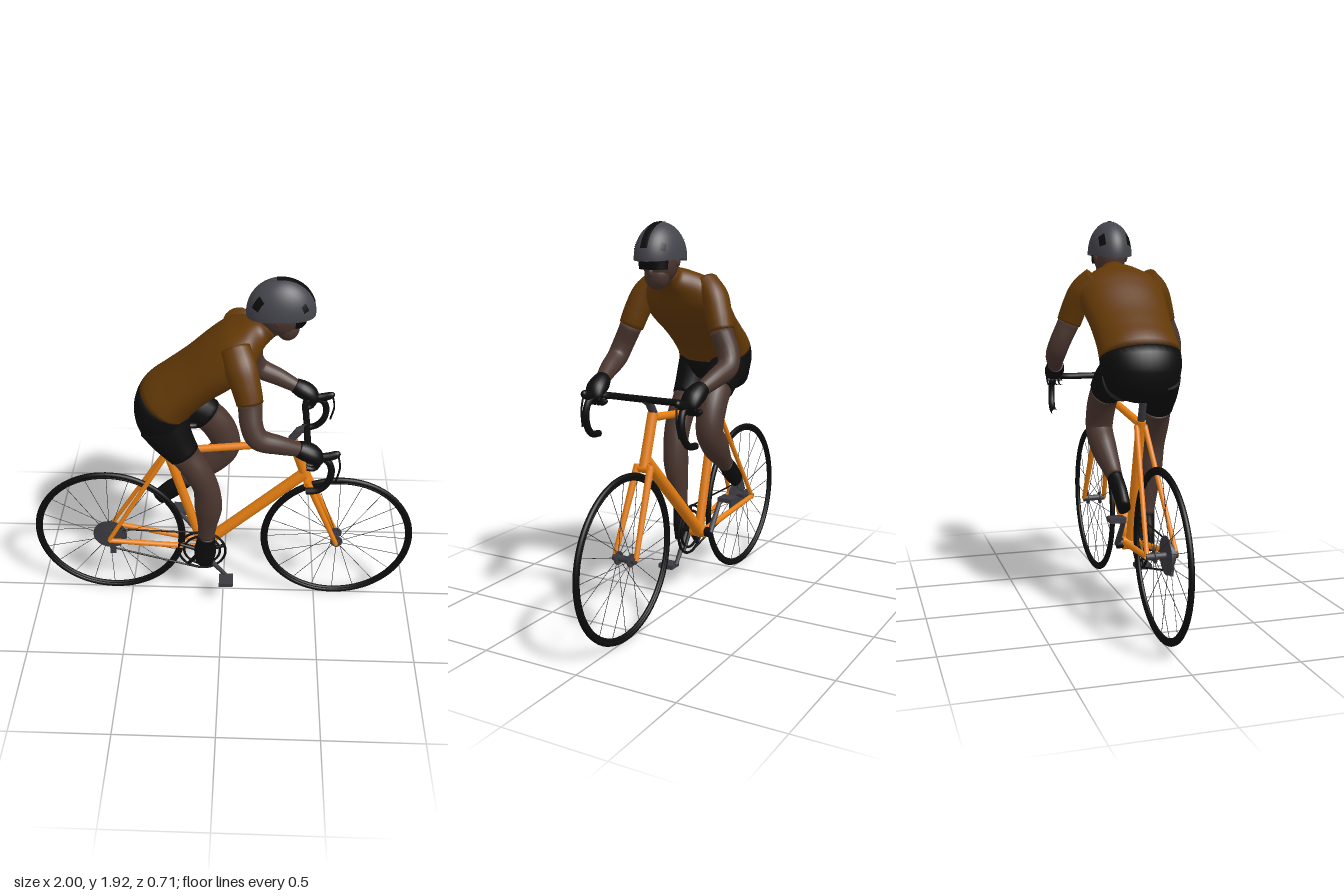
import * as THREE from 'three';

const V = (x, y, z = 0) => new THREE.Vector3(x, y, z);
const mat = (name, color) => {
  const m = new THREE.MeshStandardMaterial({ color });
  m.name = name;
  return m;
};

// Smooth body part: rows are [x, y, z, depth radius, side radius]; from/to are row numbers.
function loft(rows, from = 0, to = rows.length - 1, around = 20) {
  const last = rows.length - 1;
  const path = new THREE.CatmullRomCurve3(rows.map(r => V(r[0], r[1], r[2])), false, 'catmullrom');
  const size = new THREE.CatmullRomCurve3(rows.map(r => V(r[3], r[4])), false, 'catmullrom');
  const steps = Math.ceil((to - from) * 6);
  const pos = [], index = [];
  for (let i = 0; i <= steps; i++) {
    const u = (from + (to - from) * i / steps) / last;
    const c = path.getPoint(u), r = size.getPoint(u), t = path.getTangent(u);
    const s = V(0, 0, 1).addScaledVector(t, -t.z).normalize();
    const n = s.clone().cross(t);
    for (let j = 0; j < around; j++) {
      const a = j / around * Math.PI * 2;
      const p = c.clone().addScaledVector(n, r.x * Math.cos(a)).addScaledVector(s, r.y * Math.sin(a));
      pos.push(p.x, p.y, p.z);
    }
  }
  for (let i = 0; i < steps; i++) for (let j = 0; j < around; j++) {
    const a = i * around + j, b = i * around + (j + 1) % around;
    index.push(a, b, a + around, b, b + around, a + around);
  }
  // end caps
  for (const u of [from / last, to / last]) {
    const c = path.getPoint(u), k = pos.length / 3, base = u === to / last ? steps * around : 0;
    pos.push(c.x, c.y, c.z);
    for (let j = 0; j < around; j++) {
      const a = base + j, b = base + (j + 1) % around;
      if (base) index.push(a, b, k); else index.push(b, a, k);
    }
  }
  const g = new THREE.BufferGeometry();
  g.setAttribute('position', new THREE.Float32BufferAttribute(pos, 3));
  g.setIndex(index);
  g.computeVertexNormals();
  return g;
}

export function createModel() {
  const root = new THREE.Group();
  root.name = 'cyclist';
  const orange = mat('frame orange', 0xf08414), jersey = mat('jersey brown', 0x623806);
  const skin = mat('skin', 0x4b362f), grey = mat('helmet grey', 0x44444c);
  const metal = mat('dark metal', 0x3a3a40), black = mat('black', 0x0c0c0d);
  const wire = mat('spoke grey', 0x2c2c30);
  grey.side = THREE.DoubleSide;
  const lens = mat('lens black', 0x070708);
  lens.side = THREE.DoubleSide;

  const add = (name, geo, m, parent = root) => {
    const mesh = new THREE.Mesh(geo, m);
    mesh.name = name;
    parent.add(mesh);
    return mesh;
  };
  const rod = (name, a, b, r, m, r2 = r, sides = 14, parent = root) => {
    const d = b.clone().sub(a);
    const o = add(name, new THREE.CylinderGeometry(r2, r, d.length(), sides), m, parent);
    o.position.copy(a).addScaledVector(d, 0.5);
    o.quaternion.setFromUnitVectors(V(0, 1), d.normalize());
    return o;
  };
  const ball = (name, p, s, m) => {
    const o = add(name, new THREE.SphereGeometry(1, 24, 16), m);
    o.position.copy(p);
    o.scale.copy(s);
    return o;
  };
  const box = (name, p, w, h, d, m) => {
    const o = add(name, new THREE.BoxGeometry(w, h, d), m);
    o.position.copy(p);
    return o;
  };

  // Wheels
  for (const [side, x] of [['rear', -0.6], ['front', 0.6]]) {
    const wheel = new THREE.Group();
    wheel.name = side + 'Wheel';
    wheel.position.set(x, 0.406, 0);
    root.add(wheel);
    add('tyre', new THREE.TorusGeometry(0.387, 0.0135, 10, 72), black, wheel);
    add('rim', new THREE.TorusGeometry(0.372, 0.009, 8, 72), black, wheel);
    const hw = side === 'rear' ? 0.075 : 0.06;
    rod('hub', V(0, 0, -hw), V(0, 0, hw), 0.016, metal, 0.016, 16, wheel);
    for (const s of [-1, 1])
      rod('hubFlange', V(0, 0, s * 0.03), V(0, 0, s * 0.038), 0.032, metal, 0.032, 20, wheel);
    for (let i = 0; i < 20; i++) {
      const a = i / 20 * Math.PI * 2, c = Math.cos(a), n = Math.sin(a);
      rod('spoke', V(c * 0.03, n * 0.03, i % 2 ? 0.034 : -0.034), V(c * 0.37, n * 0.37), 0.0014, wire, 0.0014, 5, wheel);
    }
  }

  // Cassette
  for (let i = 0; i < 6; i++)
    rod('sprocket', V(-0.6, 0.406, 0.018 + i * 0.006), V(-0.6, 0.406, 0.022 + i * 0.006), 0.09 - i * 0.009, metal, 0.09 - i * 0.009, 28);

  // Frame
  const crank = V(-0.11, 0.336), seatTop = V(-0.285, 0.975);
  rod('seatTube', crank, seatTop, 0.024, orange);
  rod('downTube', crank, V(0.415, 0.835), 0.03, orange);
  rod('topTube', V(-0.28, 0.955), V(0.355, 1.025), 0.019, orange);
  rod('headTube', V(0.342, 1.045), V(0.425, 0.8), 0.025, orange);
  rod('bottomBracket', V(-0.11, 0.336, -0.04), V(-0.11, 0.336, 0.04), 0.032, orange);
  rod('forkCrown', V(0.428, 0.795, -0.045), V(0.428, 0.795, 0.045), 0.02, orange);
  for (const s of [-1, 1]) {
    rod('forkBlade', V(0.425, 0.81, s * 0.035), V(0.597, 0.406, s * 0.058), 0.018, orange, 0.012);
    rod('chainStay', V(-0.13, 0.342, s * 0.03), V(-0.6, 0.406, s * 0.07), 0.016, orange, 0.013);
    rod('seatStay', V(-0.28, 0.95, s * 0.02), V(-0.6, 0.406, s * 0.07), 0.013, orange, 0.011);
  }
  rod('seatPost', seatTop, V(-0.335, 1.11), 0.018, metal);
  rod('stem', V(0.338, 1.045), V(0.375, 1.1), 0.02, metal);
  rod('stemReach', V(0.365, 1.095), V(0.415, 1.12), 0.019, metal);
  add('saddle', loft([[-0.385, 1.11, 0, 0.015, 0.05], [-0.34, 1.12, 0, 0.025, 0.065], [-0.25, 1.12, 0, 0.02, 0.035], [-0.13, 1.115, 0, 0.014, 0.016]]), black);

  // Drivetrain
  for (const r of [0.125, 0.095]) {
    const ring = add('chainring', new THREE.TorusGeometry(r, 0.007, 6, 48), black);
    ring.position.set(-0.11, 0.336, 0.05);
  }
  for (let i = 0; i < 5; i++) {
    const a = i / 5 * Math.PI * 2 + 0.3;
    rod('spiderArm', V(-0.11, 0.336, 0.052), V(-0.11 + Math.cos(a) * 0.122, 0.336 + Math.sin(a) * 0.122, 0.05), 0.014, black, 0.009, 8);
  }
  rod('axle', V(-0.11, 0.336, -0.07), V(-0.11, 0.336, 0.075), 0.025, black);
  for (const s of [-1, 1]) {
    const p = V(-0.11 + s * 0.125, 0.336 - s * 0.16, s * 0.066);
    rod('crankArm', V(-0.11, 0.336, s * 0.066), p, 0.016, metal, 0.011, 8);
    box('pedal', V(p.x + 0.005, p.y - 0.005, s * 0.106), 0.075, 0.022, 0.08, metal);
  }
  rod('lowerChain', V(-0.57, 0.325, 0.04), V(-0.13, 0.21, 0.05), 0.005, black, 0.005, 6);
  rod('upperChain', V(-0.6, 0.46, 0.04), V(-0.11, 0.46, 0.05), 0.004, black, 0.004, 6);
  box('derailleur', V(-0.585, 0.345, 0.05), 0.03, 0.08, 0.015, metal);

  // Handlebar, hoods, brake levers and arms, mirrored
  for (const s of [-1, 1]) {
    const side = s > 0 ? 'right' : 'left';
    const bar = [[0.41, 1.12, 0], [0.41, 1.12, 0.1], [0.41, 1.12, 0.2], [0.44, 1.122, 0.242], [0.495, 1.11, 0.25], [0.52, 1.06, 0.254],
      [0.508, 0.985, 0.258], [0.465, 0.94, 0.262], [0.405, 0.93, 0.263]].map(p => V(p[0], p[1], p[2] * s));
    add('handlebar', new THREE.TubeGeometry(new THREE.CatmullRomCurve3(bar), 48, 0.0165, 10), black);
    add('brakeHood', loft([[0.44, 1.125, 0.25 * s, 0.018, 0.018], [0.5, 1.13, 0.25 * s, 0.022, 0.018], [0.545, 1.145, 0.248 * s, 0.018, 0.015], [0.558, 1.148, 0.248 * s, 0.004, 0.004]]), black);
    const lever = [V(0.548, 1.14, 0.248 * s), V(0.56, 1.07, 0.252 * s), V(0.545, 0.99, 0.258 * s)];
    add('brakeLever', new THREE.TubeGeometry(new THREE.CatmullRomCurve3(lever), 12, 0.005, 6), black);

    const arm = [[0.06, 1.635, 0.13, 0.07, 0.06], [0.085, 1.575, 0.19, 0.075, 0.062], [0.11, 1.5, 0.222, 0.069, 0.062], [0.13, 1.42, 0.248, 0.062, 0.06],
      [0.14, 1.33, 0.288, 0.053, 0.052], [0.175, 1.262, 0.305, 0.052, 0.05], [0.27, 1.222, 0.29, 0.045, 0.043], [0.37, 1.18, 0.265, 0.033, 0.033]];
    const armRows = arm.map(r => [r[0], r[1], r[2] * s, r[3], r[4]]);
    add(side + 'Sleeve', loft(armRows, 0, 3), jersey);
    add(side + 'Arm', loft(armRows.map((r, i) => i === 3 ? [r[0], r[1], r[2], 0.057, 0.055] : r), 3, 7), skin);
    add(side + 'Glove', loft([[0.355, 1.187, 0.268 * s, 0.038, 0.038], [0.39, 1.17, 0.262 * s, 0.045, 0.048], [0.43, 1.148, 0.258 * s, 0.042, 0.05],
      [0.46, 1.115, 0.254 * s, 0.025, 0.04], [0.465, 1.1, 0.254 * s, 0.005, 0.01]]), black);
    for (let i = 0; i < 4; i++) {
      const z = s * (0.225 + i * 0.02);
      const finger = [V(0.42, 1.155, z), V(0.455, 1.12, z), V(0.435, 1.085, z), V(0.4, 1.09, z)];
      add('finger', new THREE.TubeGeometry(new THREE.CatmullRomCurve3(finger), 8, 0.013, 8), black);
    }
  }

  // Torso: shorts below the hem, jersey above
  const torso = [[-0.27, 1.07, 0, 0.04, 0.06], [-0.283, 1.12, 0, 0.115, 0.16], [-0.285, 1.2, 0, 0.145, 0.192], [-0.272, 1.275, 0, 0.142, 0.197],
    [-0.205, 1.345, 0, 0.128, 0.195], [-0.11, 1.425, 0, 0.12, 0.2], [0.0, 1.515, 0, 0.125, 0.215], [0.075, 1.585, 0, 0.113, 0.212],
    [0.13, 1.63, 0, 0.085, 0.155], [0.18, 1.66, 0, 0.062, 0.072], [0.215, 1.685, 0, 0.053, 0.056]];
  add('shortsSeat', loft(torso, 0, 3, 32), black);
  add('jerseyBody', loft(torso, 3, 10, 32), jersey);

  // Legs: shorts, bare leg, shoe
  const straight = [[-0.28, 1.19, 0.1, 0.125, 0.09], [-0.24, 1.11, 0.105, 0.105, 0.086], [-0.185, 1.025, 0.112, 0.08, 0.075], [-0.125, 0.93, 0.12, 0.068, 0.068],
    [-0.08, 0.82, 0.118, 0.065, 0.064], [-0.07, 0.69, 0.112, 0.07, 0.06], [-0.077, 0.56, 0.1, 0.05, 0.045], [-0.083, 0.475, 0.095, 0.044, 0.036],
    [-0.09, 0.38, 0.095, 0.058, 0.032], [-0.095, 0.29, 0.095, 0.045, 0.03]];
  const bent = [[-0.29, 1.19, -0.1, 0.12, 0.09], [-0.19, 1.17, -0.105, 0.105, 0.086], [-0.085, 1.105, -0.115, 0.088, 0.078], [-0.015, 1.01, -0.122, 0.08, 0.07],
    [0.01, 0.9, -0.125, 0.072, 0.066], [-0.06, 0.815, -0.122, 0.075, 0.062], [-0.14, 0.745, -0.112, 0.056, 0.048], [-0.2, 0.692, -0.105, 0.045, 0.037],
    [-0.275, 0.63, -0.1, 0.052, 0.034], [-0.345, 0.57, -0.1, 0.042, 0.03]];
  for (const [side, leg] of [['right', straight], ['left', bent]]) {
    add(side + 'ShortsLeg', loft(leg, 0, 2), black);
    add(side + 'Leg', loft(leg.map((r, i) => i === 2 ? [r[0], r[1], r[2], r[3] - 0.005, r[4] - 0.005] : r), 2, 7), skin);
    add(side + 'Shoe', loft(leg, 7, 9), black);
  }

  // Head
  add('neck', loft([[0.16, 1.635, 0, 0.05, 0.055], [0.22, 1.685, 0, 0.052, 0.054], [0.26, 1.74, 0, 0.055, 0.055]]), skin);
  ball('head', V(0.262, 1.745), V(0.1, 0.105, 0.08), skin);
  ball('jaw', V(0.295, 1.682), V(0.056, 0.068, 0.06), skin);
  ball('nose', V(0.352, 1.697), V(0.016, 0.024, 0.013), skin);
  for (const s of [-1, 1]) ball('ear', V(0.245, 1.745, s * 0.08), V(0.018, 0.028, 0.01), skin);
  const glasses = add('sunglasses', new THREE.CylinderGeometry(0.085, 0.082, 0.05, 24, 1, true, Math.PI / 2 - 1.2, 2.4), lens);
  glasses.position.set(0.297, 1.735, 0);

  // Helmet shell with dark vents laid just above it
  const shell = (name, m, grow, p0, p1, t0, t1) => {
    const g = new THREE.SphereGeometry(1, 32, 24, p0, p1 - p0, t0, t1 - t0).rotateX(Math.PI / 2);
    const o = add(name, g, m);
    o.position.set(0.262, 1.758, 0);
    o.scale.set(0.158 + grow, 0.163 + grow, 0.108 + grow);
    return o;
  };
  const pi = Math.PI;
  shell('helmetShell', grey, 0, pi * 0.98, pi * 2.04, 0, pi);
  shell('centreVent', black, 0.002, pi * 1.1, pi * 1.55, pi / 2 - 0.17, pi / 2 + 0.17);
  for (const s of [-1, 1]) {
    const vents = [[1.1, 1.2, 0.72, 0.92], [1.75, 1.9, 0.75, 1.05]];
    for (const [a, b, c, d] of vents)
      shell('sideVent', black, 0.002, pi * a, pi * b, s > 0 ? c : pi - d, s > 0 ? d : pi - c);
  }
  return root;
}
